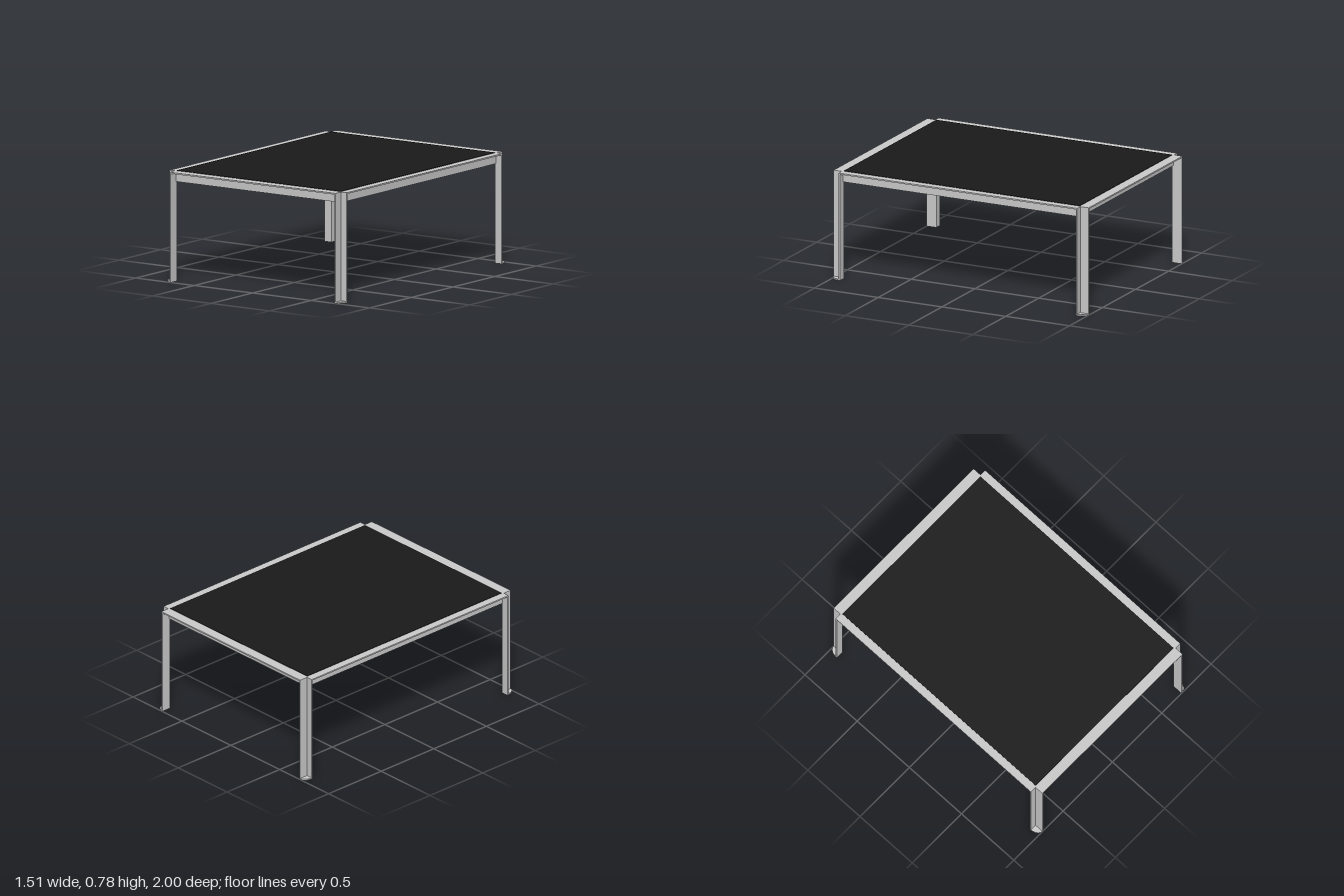
import * as THREE from 'three';

const H = 0.78;            // table height
const IX = 0.70, IZ = 0.925; // inner corner of the legs
const OX = 0.757, OZ = 1.0;  // outer limits
const T = 0.01;            // plate thickness
const RAIL = 0.075;        // rail height

const metal = new THREE.MeshStandardMaterial({ color: 0xcccccc });
const black = new THREE.MeshStandardMaterial({ color: 0x1a1a1a });

// Box given by its lower and upper corners
function box(name, lo, hi, material = metal) {
  const size = hi.map((v, i) => v - lo[i]);
  const mesh = new THREE.Mesh(new THREE.BoxGeometry(...size), material);
  mesh.position.set(...hi.map((v, i) => (v + lo[i]) / 2));
  mesh.name = name;
  return mesh;
}

// Plan outline (x, z) raised from the ground to a given height
function prism(name, points, height) {
  const shape = new THREE.Shape(points.map(([x, z]) => new THREE.Vector2(x, -z)));
  const geo = new THREE.ExtrudeGeometry(shape, { depth: height, bevelEnabled: false });
  geo.rotateX(-Math.PI / 2);
  const mesh = new THREE.Mesh(geo, metal);
  mesh.name = name;
  return mesh;
}

// Angle-section leg, open to the outside, on a rounded foot plate
function makeLeg(sx, sz) {
  const leg = new THREE.Group();
  leg.name = 'leg';
  const place = ([x, z]) => [sx * x, sz * z];
  const angle = [[IX, IZ], [OX, IZ], [OX, IZ + T], [IX + T, IZ + T], [IX + T, OZ], [IX, OZ]];
  const foot = [[IX, IZ]];
  for (let i = 0; i <= 8; i++) {
    const a = (i / 8) * Math.PI / 2;
    foot.push([IX + T + (OX - IX - T) * Math.cos(a), IZ + T + (OZ - IZ - T) * Math.sin(a)]);
  }
  foot.splice(1, 0, [OX, IZ]);
  foot.push([IX, OZ]);
  leg.add(prism('legAngle', angle.map(place), H), prism('footPlate', foot.map(place), T));
  return leg;
}

// Box mirrored to one side along x or z
function sided(name, axis, s, lo, hi) {
  const a = [...lo], b = [...hi];
  if (s < 0) { a[axis] = -hi[axis]; b[axis] = -lo[axis]; }
  return box(name, a, b);
}

export function createModel() {
  const table = new THREE.Group();
  table.name = 'table';

  // Thin dark top panel
  table.add(box('topPanel', [-IX, H - 0.006, -IZ], [IX, H + 0.003, IZ], black));

  for (const s of [-1, 1]) {
    // Rails: upright inner plate with a flange on top pointing outwards
    const sideRail = new THREE.Group();
    sideRail.name = 'sideRail';
    sideRail.add(
      sided('sideRailPlate', 0, s, [IX, H - RAIL, -IZ], [IX + T, H, IZ]),
      sided('sideRailFlange', 0, s, [IX + T, H - T, -IZ], [OX, H, IZ]));
    const endRail = new THREE.Group();
    endRail.name = 'endRail';
    endRail.add(
      sided('endRailPlate', 2, s, [-IX, H - RAIL, IZ], [IX, H, IZ + T]),
      sided('endRailFlange', 2, s, [-IX, H - T, IZ + T], [IX, H, OZ]));
    table.add(sideRail, endRail);

    // Flat stiffeners beneath the panel
    const top = H - 0.006, bottom = top - 0.008;
    table.add(
      sided('crossStiffener', 0, s, [0.15, bottom, -0.025], [IX, top, 0.025]),
      sided('lengthStiffener', 2, s, [-0.025, bottom, 0.23], [0.025, top, IZ]));

    for (const t of [-1, 1]) table.add(makeLeg(s, t));
  }
  return table;
}
